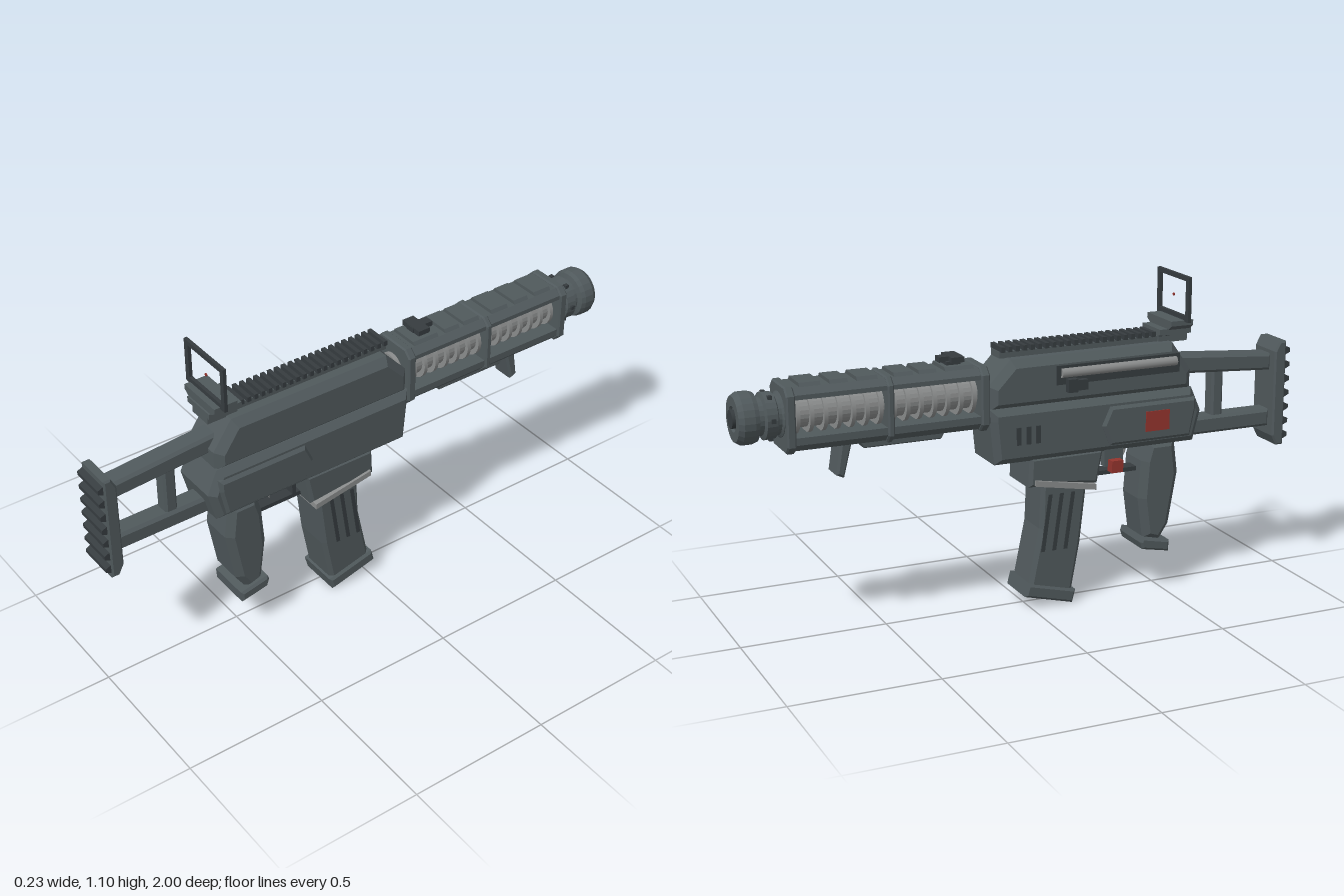
import * as THREE from 'three';

const mat = (name, hex) => {
  const m = new THREE.MeshStandardMaterial({ color: hex });
  m.name = name;
  return m;
};

export function createModel() {
  const body = mat('gunmetal', 0x50595c);
  const dark = mat('dark metal', 0x363c3f);
  const steel = mat('bare steel', 0x8a8c8c);
  const red = mat('red', 0x94352e);
  const model = new THREE.Group();

  const add = (name, geo, m, x = 0, y = 0, z = 0) => {
    const mesh = new THREE.Mesh(geo, m);
    mesh.name = name;
    mesh.position.set(x, y, z);
    model.add(mesh);
    return mesh;
  };
  const box = (name, m, w, h, d, x, y, z) => add(name, new THREE.BoxGeometry(w, h, d), m, x, y, z);
  const toShape = pts => new THREE.Shape(pts.map(p => new THREE.Vector2(...p)));
  const extrude = (shape, depth, bevel) => {
    const g = new THREE.ExtrudeGeometry(shape, {
      depth: depth - 2 * bevel, bevelEnabled: bevel > 0, bevelSize: bevel,
      bevelThickness: bevel, bevelOffset: -bevel, bevelSegments: 1, curveSegments: 8,
    });
    return g.translate(0, 0, -(depth - 2 * bevel) / 2);
  };
  // Side profile of [z, y] points, extruded across x with chamfered edges
  const slab = (name, m, pts, width, bevel = 0, x = 0) =>
    add(name, extrude(toShape(pts), width, bevel).rotateY(-Math.PI / 2), m, x);
  // Cross-section of [x, y] points, extruded between two z positions
  const bar = (name, m, pts, z0, z1, bevel = 0) =>
    add(name, extrude(toShape(pts), Math.abs(z1 - z0), bevel), m, 0, 0, (z0 + z1) / 2);
  // Turned part along z from [radius, z] points
  const turned = (name, m, pts, y, sides = 24) => {
    const g = new THREE.LatheGeometry(pts.map(p => new THREE.Vector2(...p)), sides).rotateX(Math.PI / 2).toNonIndexed();
    g.computeVertexNormals();
    return add(name, g, m, 0, y, 0);
  };

  // Receiver
  slab('upperReceiver', body, [[0.595, 0.71], [0.595, 0.78], [0.525, 0.88], [-0.075, 0.878], [-0.155, 0.795], [-0.155, 0.71]], 0.186, 0.026);
  slab('lowerReceiver', body, [[0.595, 0.72], [0.632, 0.635], [0.605, 0.53], [-0.14, 0.53], [-0.155, 0.68], [-0.155, 0.72]], 0.204, 0.022);
  const panel = [[0.6, 0.69], [0.275, 0.69], [0.245, 0.625], [0.275, 0.555], [0.58, 0.555], [0.6, 0.65]];
  for (const s of [-1, 1]) slab('sidePanel', body, panel, 0.03, 0.01, s * 0.098);

  // Controls on the right-hand side
  box('boltSlot', dark, 0.008, 0.065, 0.46, -0.093, 0.815, 0.31);
  const rod = new THREE.CylinderGeometry(0.016, 0.016, 0.43, 12).rotateX(Math.PI / 2);
  add('boltRod', rod, steel, -0.097, 0.822, 0.31);
  box('chargingHandle', dark, 0.035, 0.035, 0.07, -0.1, 0.78, 0.15);
  box('chargingKnob', dark, 0.022, 0.045, 0.035, -0.108, 0.78, 0.13);
  box('redPlate', red, 0.008, 0.07, 0.09, -0.112, 0.625, 0.45);
  for (let i = 0; i < 3; i++) box('gripSlot', dark, 0.006, 0.06, 0.016, -0.103, 0.625, -0.06 + i * 0.035);
  box('redButton', red, 0.036, 0.042, 0.042, -0.097, 0.48, 0.3);
  box('buttonMount', body, 0.03, 0.06, 0.07, -0.07, 0.505, 0.3);

  // Top rail with teeth
  box('rail', body, 0.07, 0.022, 0.62, 0, 0.888, 0.21);
  for (let i = 0; i < 24; i++) box('railTooth', dark, 0.09, 0.018, 0.014, 0, 0.907, -0.09 + i * 0.0265);

  // Sight: base, block and open frame with a red dot
  box('sightNeck', body, 0.086, 0.035, 0.11, 0, 0.893, 0.54);
  box('sightBase', body, 0.125, 0.02, 0.12, 0, 0.915, 0.54);
  bar('sightBlock', body, [[-0.06, 0.92], [0.06, 0.92], [0.086, 0.938], [0.086, 0.955], [-0.086, 0.955], [-0.086, 0.938]], 0.51, 0.594);
  const frame = toShape([[-0.108, 0.95], [0.112, 0.95], [0.112, 1.106], [-0.108, 1.106]]);
  frame.holes.push(new THREE.Path([[-0.088, 0.97], [-0.088, 1.09], [0.094, 1.09], [0.094, 0.97]].map(p => new THREE.Vector2(...p))));
  add('sightFrame', extrude(frame, 0.012, 0), dark, 0, 0, 0.567);
  add('sightDot', new THREE.CylinderGeometry(0.005, 0.005, 0.004, 10).rotateX(Math.PI / 2), red, 0.004, 1.029, 0.567);

  // Stock
  slab('stockUpperArm', body, [[0.94, 0.733], [0.94, 0.793], [0.56, 0.823], [0.56, 0.757]], 0.075, 0.01);
  slab('stockLowerArm', body, [[0.94, 0.53], [0.94, 0.592], [0.56, 0.592], [0.56, 0.53]], 0.075, 0.01);
  slab('stockStrut', body, [[0.71, 0.58], [0.71, 0.76], [0.755, 0.76], [0.755, 0.58]], 0.055, 0.008);
  slab('buttPlate', body, [[0.937, 0.5], [0.937, 0.805], [0.955, 0.84], [0.982, 0.84], [0.982, 0.465], [0.955, 0.465]], 0.136, 0.006);
  for (let i = 0; i < 7; i++) {
    const y = 0.5 + i * 0.051;
    slab('buttRidge', dark, [[0.98, y - 0.016], [0.98, y + 0.016], [1.0, y + 0.007], [1.0, y - 0.007]], 0.125);
  }

  // Pistol grip and foot
  slab('pistolGrip', body, [[0.546, 0.54], [0.562, 0.415], [0.53, 0.23], [0.49, 0.17], [0.43, 0.19], [0.41, 0.335], [0.42, 0.47], [0.44, 0.54]], 0.156, 0.024);
  slab('gripFoot', body, [[0.525, 0.175], [0.522, 0.135], [0.42, 0.155], [0.412, 0.18], [0.418, 0.198]], 0.168, 0.008);

  // Trigger and guard
  slab('trigger', steel, [[0.39, 0.54], [0.345, 0.54], [0.352, 0.5], [0.36, 0.458], [0.38, 0.5]], 0.03);
  box('triggerGuard', dark, 0.05, 0.015, 0.2, 0, 0.435, 0.33);
  box('guardFront', dark, 0.05, 0.1, 0.015, 0, 0.485, 0.268);

  // Magazine well and curved magazine
  slab('magazineWell', body, [[0.262, 0.54], [0.24, 0.42], [0.1, 0.435], [-0.015, 0.435], [-0.01, 0.54]], 0.176, 0.012);
  slab('wellCollar', steel, [[0.23, 0.402], [0.23, 0.422], [0.005, 0.462], [0.005, 0.442]], 0.194);
  slab('magazine', body, [[0.21, 0.43], [0.185, 0.21], [0.15, 0.02], [-0.012, 0.06], [0.033, 0.28], [0.04, 0.46]], 0.146, 0.014);
  slab('magazineFoot', body, [[0.164, 0.047], [0.152, 0.001], [-0.026, 0.047], [-0.014, 0.092]], 0.164, 0.008);
  for (const s of [-1, 1]) for (const z of [0.16, 0.118, 0.076]) {
    slab('magazineGroove', dark, [[z, 0.4], [z - 0.028, 0.2], [z - 0.042, 0.2], [z - 0.014, 0.4]], 0.006, 0, s * 0.073);
  }

  // Barrel with cooling rings
  turned('barrel', steel, [[0, -0.84], [0.052, -0.84], [0.052, -0.14], [0, -0.14]].reverse(), 0.768)
    .material.side = THREE.DoubleSide;
  for (let i = 0; i < 14; i++) {
    add('coolingRing', new THREE.CylinderGeometry(0.066, 0.066, 0.013, 20).rotateX(Math.PI / 2), steel, 0, 0.763, -0.2 - i * 0.046);
    box('ringTie', dark, 0.012, 0.17, 0.012, 0, 0.76, -0.2 - i * 0.046);
  }

  // Handguard: top and bottom channels held by three collars
  bar('guardTop', body, [[-0.082, 0.825], [0.082, 0.825], [0.082, 0.84], [0.06, 0.86], [-0.06, 0.86], [-0.082, 0.84]], -0.16, -0.835);
  bar('guardBottom', body, [[-0.06, 0.655], [0.06, 0.655], [0.082, 0.678], [0.082, 0.702], [-0.082, 0.702], [-0.082, 0.678]], -0.16, -0.835);
  const octagon = (hx, y0, y1, c) => [[-hx + c, y0], [hx - c, y0], [hx, y0 + c], [hx, y1 - c], [hx - c, y1], [-hx + c, y1], [-hx, y1 - c], [-hx, y0 + c]];
  for (const [z, d] of [[-0.17, 0.03], [-0.497, 0.022], [-0.828, 0.03]]) {
    bar('guardCollar', body, octagon(0.09, 0.648, 0.866, 0.026), z - d / 2, z + d / 2, 0.005);
  }
  for (const [z0, z1] of [[-0.2, -0.3], [-0.33, -0.39], [-0.41, -0.475], [-0.53, -0.6], [-0.63, -0.69], [-0.72, -0.79]]) {
    bar('topPlate', body, [[-0.062, 0.855], [0.062, 0.855], [0.05, 0.872], [-0.05, 0.872]], z0, z1);
  }
  box('frontSightBase', dark, 0.06, 0.014, 0.05, 0, 0.876, -0.26);
  box('frontSight', dark, 0.09, 0.018, 0.045, 0, 0.89, -0.25);
  box('frontSightPost', dark, 0.035, 0.018, 0.08, 0, 0.889, -0.265);

  // Under-rail and hand stop
  slab('underRail', body, [[-0.3, 0.66], [-0.315, 0.635], [-0.58, 0.635], [-0.595, 0.66]], 0.11, 0.004);
  slab('handStop', body, [[-0.615, 0.66], [-0.655, 0.66], [-0.672, 0.552], [-0.645, 0.54]], 0.09, 0.008);

  // Muzzle: stepped rings and bored cap
  const muzzle = [[0, -0.83], [0.075, -0.83], [0.075, -0.845], [0.066, -0.85], [0.066, -0.86], [0.075, -0.865], [0.077, -0.9],
    [0.062, -0.905], [0.062, -0.92], [0.08, -0.925], [0.085, -0.94], [0.085, -0.975], [0.074, -0.992], [0.042, -0.992], [0.036, -0.985], [0, -0.985]];
  turned('muzzle', body, muzzle.reverse(), 0.765);
  add('muzzleHub', new THREE.CylinderGeometry(0.03, 0.03, 0.02, 16).rotateX(Math.PI / 2), dark, 0, 0.765, -0.99);
  for (let i = 0; i < 6; i++) {
    const a = i * Math.PI / 3;
    box('muzzleStud', dark, 0.014, 0.014, 0.014, 0.076 * Math.cos(a), 0.765 + 0.076 * Math.sin(a), -0.882);
  }
  body.side = THREE.DoubleSide;
  return model;
}
